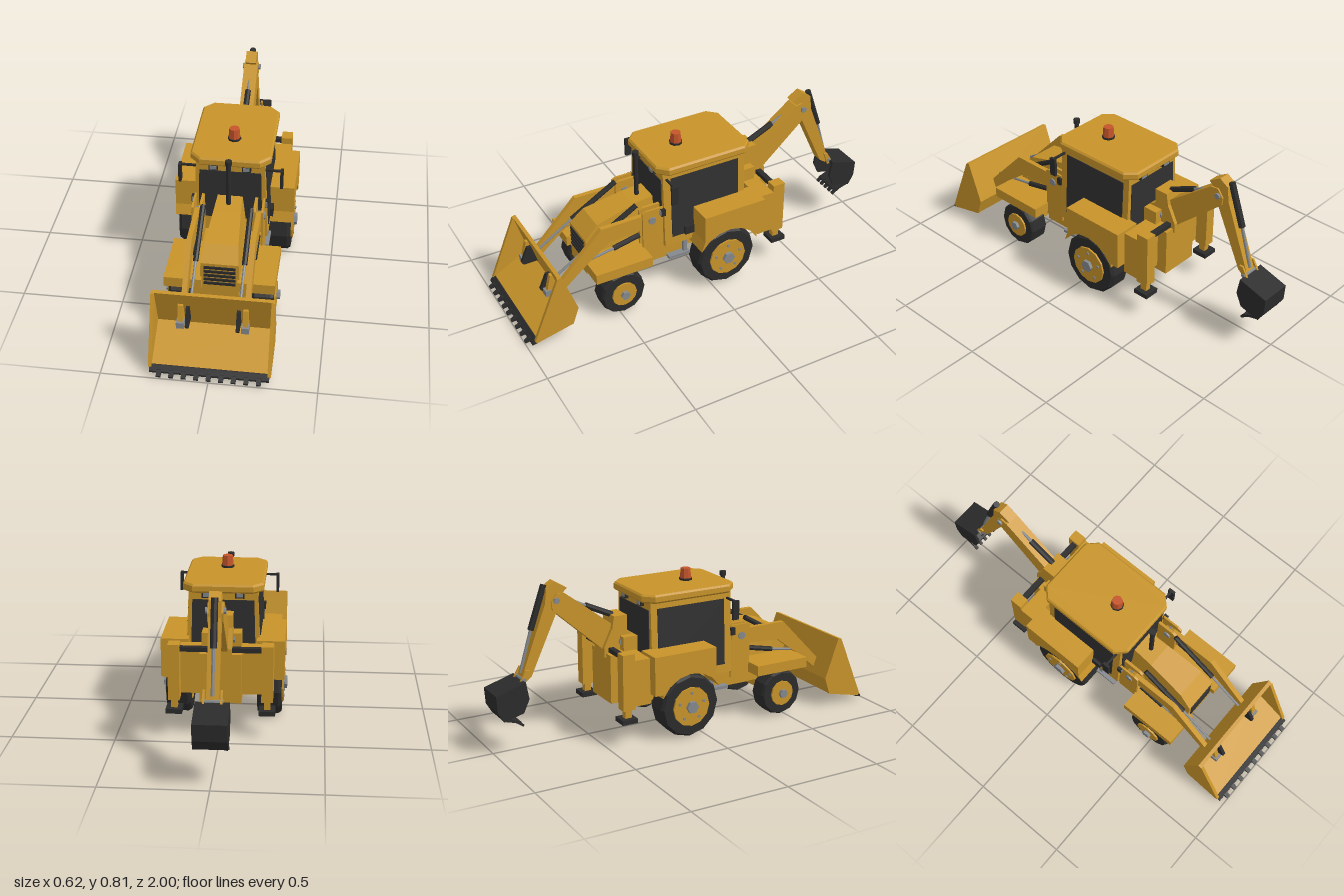
import * as THREE from 'three';

const mat = (name, color) => { const m = new THREE.MeshStandardMaterial({ color }); m.name = name; return m; };

export function createModel() {
  const yellow = mat('yellow paint', 0xc8942a);
  const dark = mat('black rubber and steel', 0x2b2b2b);
  const glass = mat('dark glass', 0x303030);
  const grey = mat('bare steel', 0x85898d);
  const orange = mat('beacon orange', 0xc4552a);
  const model = new THREE.Group();
  model.name = 'digger';

  // Every part is faceted: split the corners and recompute normals
  const add = (name, geo, material) => {
    const g = geo.index ? geo.toNonIndexed() : geo;
    g.computeVertexNormals();
    const mesh = new THREE.Mesh(g, material);
    mesh.name = name;
    model.add(mesh);
    return mesh;
  };
  // Box given by its limits
  const box = (name, m, x0, x1, y0, y1, z0, z1) => add(name,
    new THREE.BoxGeometry(Math.abs(x1 - x0), y1 - y0, z1 - z0)
      .translate((x0 + x1) / 2, (y0 + y1) / 2, (z0 + z1) / 2), m);
  // Side profile of [z, y] points, given a width across x
  const plate = (name, m, pts, width, x = 0) => {
    const shape = new THREE.Shape(pts.map(p => new THREE.Vector2(p[0], p[1])));
    const g = new THREE.ExtrudeGeometry(shape, { depth: width, bevelEnabled: false });
    return add(name, g.translate(0, 0, -width / 2).rotateY(-Math.PI / 2).translate(x, 0, 0), m);
  };
  // Cylinder between two points
  const rod = (name, m, a, b, r, sides = 8, r2 = r) => {
    const p = new THREE.Vector3(...a), q = new THREE.Vector3(...b), d = q.clone().sub(p);
    const mesh = add(name, new THREE.CylinderGeometry(r2, r, d.length(), sides), m);
    mesh.position.copy(p).add(q).multiplyScalar(0.5);
    mesh.quaternion.setFromUnitVectors(new THREE.Vector3(0, 1, 0), d.normalize());
    return mesh;
  };
  // Cylinder barrel with a steel piston rod
  const ram = (name, x, a, mid, b, r) => {
    rod(name + 'Barrel', dark, [x, a[1], a[0]], [x, mid[1], mid[0]], r);
    rod(name + 'Rod', grey, [x, mid[1], mid[0]], [x, b[1], b[0]], r * 0.5);
  };
  // Box narrowing from half width xb to xt
  const frustum = (name, m, xb, xt, y0, y1, z0, z1) => {
    const g = new THREE.BoxGeometry(2, 1, 1), p = g.attributes.position;
    for (let i = 0; i < p.count; i++) {
      const t = p.getY(i) + 0.5;
      p.setXYZ(i, p.getX(i) * (xb + (xt - xb) * t), y0 + (y1 - y0) * t, p.getZ(i) > 0 ? z1 : z0);
    }
    return add(name, g, m);
  };

  // Chassis and axles
  plate('chassis', yellow, [[0.6, 0.17], [0.56, 0.15], [-0.2, 0.15], [-0.31, 0.19], [-0.31, 0.3], [0.6, 0.3]], 0.18);
  box('frontAxle', yellow, -0.17, 0.17, 0.095, 0.15, 0.45, 0.51);
  box('rearAxle', yellow, -0.18, 0.18, 0.12, 0.2, -0.13, -0.03);

  // Bonnet: cross-sections [z, top y, top half width, bottom half width]
  const sections = [[0.2, 0.495, 0.06, 0.09], [0.33, 0.48, 0.066, 0.1], [0.53, 0.435, 0.08, 0.1], [0.6, 0.37, 0.09, 0.095]];
  const hood = new THREE.BoxGeometry(2, 1, 3, 1, 1, 3), hp = hood.attributes.position;
  for (let i = 0; i < hp.count; i++) {
    const [z, y, wt, wb] = sections[Math.round(hp.getZ(i) + 1.5)];
    const top = hp.getY(i) > 0;
    hp.setXYZ(i, hp.getX(i) * (top ? wt : wb), top ? y : 0.22, z);
  }
  add('bonnet', hood, yellow);
  for (let i = 0; i < 5; i++) {
    const y = 0.25 + i * 0.023;
    box('grilleSlat', dark, -0.075, 0.075, y, y + 0.013, 0.595, 0.606);
  }
  rod('exhaustPipe', dark, [0, 0.47, 0.275], [0, 0.72, 0.275], 0.012);
  rod('exhaustCap', dark, [0, 0.71, 0.275], [0, 0.732, 0.275], 0.017);

  // Cab with glass just proud of the walls
  frustum('cab', yellow, 0.185, 0.165, 0.26, 0.68, -0.235, 0.215);
  frustum('sideGlass', glass, 0.1865, 0.1705, 0.305, 0.64, -0.2, 0.175);
  frustum('endGlass', glass, 0.157, 0.149, 0.36, 0.632, -0.239, 0.219);
  const rx = 0.187, rf = 0.235, rb = 0.265, c = 0.045;
  const roof = new THREE.Shape([[rx, rb - c], [rx - c, rb], [c - rx, rb], [-rx, rb - c], [-rx, c - rf], [c - rx, -rf], [rx - c, -rf], [rx, c - rf]]
    .map(p => new THREE.Vector2(...p)));
  add('roof', new THREE.ExtrudeGeometry(roof, { depth: 0.025, bevelSize: 0.008, bevelThickness: 0.009, bevelSegments: 1 })
    .rotateX(-Math.PI / 2).translate(0, 0.682, 0), yellow);
  rod('beaconBase', dark, [0, 0.714, 0.055], [0, 0.726, 0.055], 0.033);
  rod('beacon', orange, [0, 0.726, 0.055], [0, 0.776, 0.055], 0.029, 8, 0.025);

  // Wheel: chamfered tyre, rim, hub and bolts
  const wheel = (name, s, z, r, x0, x1, rimR, bolts) => {
    const w = (x1 - x0) / 2, mid = s * (x0 + x1) / 2;
    const prof = [[0, -w], [r * 0.93, -w], [r, -w * 0.75], [r, w * 0.75], [r * 0.93, w], [0, w]].map(p => new THREE.Vector2(...p));
    add(name + 'Tyre', new THREE.LatheGeometry(prof, 12).rotateZ(Math.PI / 2).translate(mid, r, z), dark);
    rod(name + 'Rim', yellow, [s * x0, r, z], [s * (x1 + 0.009), r, z], rimR, 12);
    rod(name + 'Hub', grey, [s * x1, r, z], [s * (x1 + 0.025), r, z], r * 0.2, 6);
    for (let i = 0; i < bolts; i++) {
      const a = i / bolts * Math.PI * 2 + 0.3, y = r + Math.sin(a) * rimR * 0.7, bz = z + Math.cos(a) * rimR * 0.7;
      rod(name + 'Bolt', grey, [s * x1, y, bz], [s * (x1 + 0.014), y, bz], 0.008, 6);
    }
  };

  // Rear mudguard profile with a wheel arch
  const arch = [[0.055, 0.445], [-0.285, 0.445], [-0.285, 0.25], [-0.24, 0.25]];
  for (let i = 0; i <= 6; i++) {
    const a = Math.PI * (0.86 - i * 0.115);
    arch.push([-0.08 + Math.cos(a) * 0.178, 0.155 + Math.sin(a) * 0.178]);
  }
  arch.push([0.055, 0.3]);

  for (const s of [-1, 1]) {
    wheel('frontWheel', s, 0.48, 0.117, 0.15, 0.252, 0.065, 0);
    wheel('rearWheel', s, -0.08, 0.16, 0.165, 0.285, 0.1, 5);
    plate('rearMudguard', yellow, arch, 0.135, s * 0.2325);
    box('frontMudguard', yellow, s * 0.085, s * 0.263, 0.235, 0.288, 0.325, 0.625);

    // Cab fittings: lamps, mirrors, steps
    for (const [z, d] of [[0.222, 1], [-0.242, -1]]) {
      box('workLamp', dark, s * 0.058, s * 0.102, 0.645, 0.676, z - 0.012, z + 0.012);
      box('lampLens', grey, s * 0.064, s * 0.096, 0.651, 0.67, z + d * 0.012 - 0.003, z + d * 0.012 + 0.003);
    }
    box('mirrorArm', dark, s * 0.16, s * 0.25, 0.636, 0.646, 0.19, 0.2);
    box('mirror', dark, s * 0.24, s * 0.254, 0.55, 0.646, 0.178, 0.212);
    box('sideLamp', dark, s * 0.165, s * 0.187, 0.448, 0.486, 0.212, 0.235);
    box('sideLampLens', grey, s * 0.168, s * 0.184, 0.453, 0.481, 0.234, 0.238);
    box('doorLatch', dark, s * 0.178, s * 0.2, 0.305, 0.35, 0.06, 0.11);
    box('stepTread', grey, s * 0.13, s * 0.19, 0.175, 0.19, 0.08, 0.195);
    box('stepHanger', grey, s * 0.165, s * 0.18, 0.175, 0.27, 0.09, 0.11);
    box('sideTank', yellow, s * 0.08, s * 0.155, 0.175, 0.28, 0.1, 0.34);

    // Lift tower cheeks, arm and rams
    for (const [x, w] of [[0.13, 0.014], [0.168, 0.01]])
      plate('liftTower', yellow, [[0.22, 0.22], [0.33, 0.22], [0.33, 0.485], [0.31, 0.495], [0.22, 0.495]], w, s * x);
    rod('towerPin', grey, [s * 0.115, 0.435, 0.28], [s * 0.18, 0.435, 0.28], 0.02);
    plate('liftArm', yellow, [[0.78, 0.185], [0.775, 0.225], [0.545, 0.465], [0.3, 0.465], [0.25, 0.44], [0.27, 0.4], [0.33, 0.385],
      [0.51, 0.375], [0.63, 0.285], [0.75, 0.185]], 0.024, s * 0.149);
    ram('bucketRam', s * 0.115, [0.335, 0.508], [0.58, 0.365], [0.76, 0.25], 0.013);
    ram('liftRam', s * 0.15, [0.34, 0.355], [0.48, 0.325], [0.6, 0.305], 0.013);

    // Front bucket cheeks and inner brackets
    plate('bucketCheek', yellow, [[0.81, 0.365], [0.83, 0.36], [0.965, 0.035], [0.955, 0.025], [0.765, 0.068], [0.735, 0.155]], 0.016, s * 0.275);
    plate('armBracket', yellow, [[0.765, 0.16], [0.795, 0.292], [0.82, 0.292], [0.842, 0.2], [0.81, 0.16]], 0.024, s * 0.15);
    box('bracketPin', grey, s * 0.132, s * 0.168, 0.18, 0.212, 0.81, 0.85);
    plate('ramBracket', dark, [[0.765, 0.185], [0.79, 0.28], [0.825, 0.28], [0.86, 0.2], [0.85, 0.185]], 0.016, s * 0.117);

    // Stabiliser leg
    box('stabiliserColumn', yellow, s * 0.195, s * 0.25, 0.185, 0.465, -0.43, -0.365);
    box('stabiliserLeg', yellow, s * 0.207, s * 0.238, 0.14, 0.19, -0.415, -0.38);
    box('stabiliserFoot', dark, s * 0.183, s * 0.262, 0.12, 0.143, -0.44, -0.36);
  }

  // Front bucket shell, cutting edge and teeth
  plate('bucketShell', yellow, [[0.81, 0.365], [0.735, 0.155], [0.765, 0.07], [0.955, 0.028], [0.955, 0.042], [0.765, 0.15], [0.828, 0.362]], 0.55);
  plate('cuttingEdge', dark, [[0.94, 0.022], [0.978, 0.014], [0.978, 0.024], [0.955, 0.044], [0.94, 0.044]], 0.552);
  for (let i = -4; i <= 4; i++)
    plate('bucketTooth', dark, [[0.955, 0.016], [1, 0.008], [1, 0.016], [0.975, 0.03], [0.955, 0.03]], 0.022, i * 0.0575);

  // Rear frame and swing tower
  box('rearFrame', yellow, -0.25, 0.25, 0.2, 0.43, -0.365, -0.28);
  box('rearPanel', yellow, -0.1, 0.1, 0.175, 0.42, -0.42, -0.28);
  box('stabiliserBeam', dark, -0.238, 0.238, 0.425, 0.447, -0.408, -0.38);
  box('swingBase', yellow, -0.095, 0.095, 0.4, 0.5, -0.345, -0.27);
  plate('swingTower', yellow, [[-0.27, 0.42], [-0.27, 0.5], [-0.305, 0.52], [-0.305, 0.6], [-0.375, 0.6], [-0.385, 0.54], [-0.43, 0.45], [-0.43, 0.4]], 0.11);
  rod('swingPin', grey, [-0.065, 0.47, -0.33], [0.065, 0.47, -0.33], 0.022);

  // Boom, dipper stick and their rams
  plate('boom', yellow, [[-0.36, 0.43], [-0.36, 0.545], [-0.62, 0.745], [-0.66, 0.75], [-0.69, 0.71], [-0.685, 0.67], [-0.43, 0.44]], 0.072);
  ram('boomRam', 0, [-0.36, 0.595], [-0.5, 0.66], [-0.65, 0.735], 0.015);
  plate('dipperStick', yellow, [[-0.605, 0.768], [-0.665, 0.805], [-0.71, 0.775], [-0.72, 0.7], [-0.85, 0.36], [-0.835, 0.335],
    [-0.8, 0.36], [-0.66, 0.66], [-0.64, 0.735]], 0.056);
  rod('elbowPin', grey, [-0.047, 0.715, -0.665], [0.047, 0.715, -0.665], 0.015);
  ram('dipperRam', 0, [-0.712, 0.79], [-0.785, 0.58], [-0.845, 0.38], 0.016);
  rod('digPin', grey, [-0.05, 0.355, -0.845], [0.05, 0.355, -0.845], 0.011);
  for (const s of [-1, 1]) plate('digLink', yellow, [[-0.815, 0.4], [-0.835, 0.4], [-0.87, 0.34], [-0.84, 0.33]], 0.01, s * 0.04);

  // Digging bucket, open to the front
  plate('digBucketShell', dark, [[-0.85, 0.355], [-1, 0.31], [-0.995, 0.23], [-0.965, 0.18], [-0.88, 0.155], [-0.88, 0.165],
    [-0.955, 0.195], [-0.982, 0.235], [-0.985, 0.3], [-0.85, 0.34]], 0.15);
  for (const s of [-1, 1])
    plate('digBucketCheek', dark, [[-0.85, 0.355], [-1, 0.31], [-0.995, 0.23], [-0.965, 0.178], [-0.865, 0.205], [-0.835, 0.27]], 0.012, s * 0.072);
  for (let i = -2; i <= 2; i++)
    plate('digTooth', dark, [[-0.91, 0.165], [-0.87, 0.138], [-0.865, 0.146], [-0.89, 0.172]], 0.016, i * 0.034);

  return model;
}
